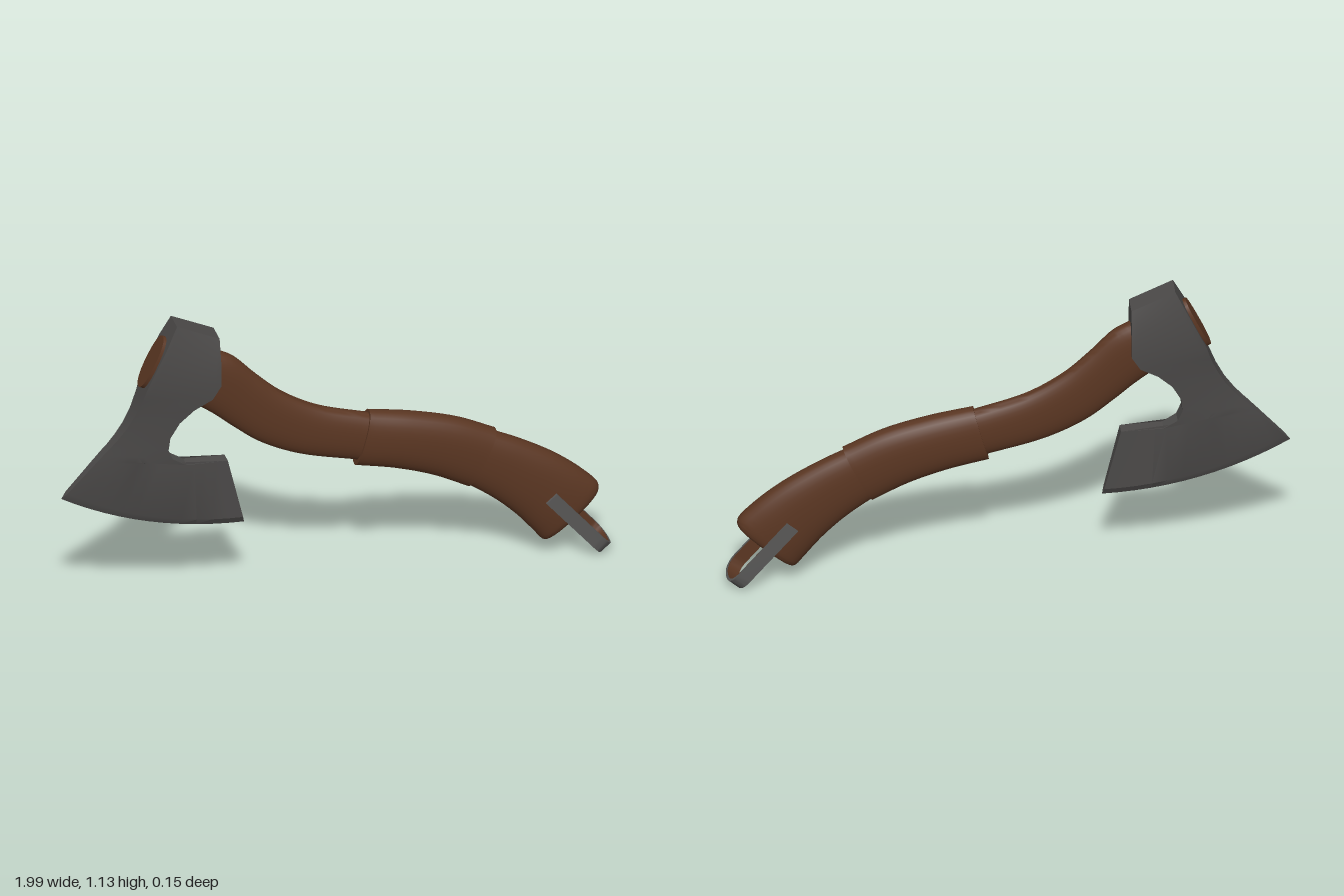
import * as THREE from 'three';
import { toCreasedNormals } from 'three/addons/utils/BufferGeometryUtils.js';

const mat = (name, color) => {
  const m = new THREE.MeshStandardMaterial({ color });
  m.name = name;
  return m;
};

// Skin a list of closed rings; rings run counter-clockwise about the loft direction
function loft(rings, capEnd, crease) {
  const n = rings[0].length, pos = [], idx = [];
  rings.forEach(r => r.forEach(p => pos.push(p.x, p.y, p.z)));
  for (let i = 0; i < rings.length - 1; i++) {
    for (let j = 0; j < n; j++) {
      const k = (j + 1) % n, a = i * n + j, b = i * n + k;
      idx.push(a, b, b + n, a, b + n, a + n);
    }
  }
  const cap = (row, flip) => {
    const c = new THREE.Vector3();
    rings[row].forEach(p => c.addScaledVector(p, 1 / n));
    const ci = pos.length / 3;
    pos.push(c.x, c.y, c.z);
    for (let j = 0; j < n; j++) {
      const a = row * n + j, b = row * n + (j + 1) % n;
      idx.push(ci, ...(flip ? [b, a] : [a, b]));
    }
  };
  cap(0, true);
  if (capEnd) cap(rings.length - 1, false);
  const g = new THREE.BufferGeometry();
  g.setAttribute('position', new THREE.Float32BufferAttribute(pos, 3));
  g.setIndex(idx);
  return toCreasedNormals(g, crease);
}

// Oval wooden section; rows are [topX, topY, bottomX, bottomY, halfWidth]
function wooden(rows, steps) {
  const top = new THREE.CatmullRomCurve3(rows.map(r => new THREE.Vector3(r[0], r[1], r[4])));
  const bottom = new THREE.CatmullRomCurve3(rows.map(r => new THREE.Vector3(r[2], r[3], 0)));
  const soft = v => Math.sign(v) * Math.abs(v) ** 0.85;
  const rings = [];
  for (let i = 0; i <= steps; i++) {
    const t = top.getPoint(i / steps), b = bottom.getPoint(i / steps), ring = [];
    for (let j = 0; j < 32; j++) {
      const a = j / 32 * Math.PI * 2, c = soft(Math.cos(a)) / 2;
      ring.push(new THREE.Vector3(
        (t.x + b.x) / 2 + (t.x - b.x) * c,
        (t.y + b.y) / 2 + (t.y - b.y) * c,
        t.z * soft(Math.sin(a))));
    }
    rings.push(ring);
  }
  return loft(rings, true, 0.8);
}

// Axe head; rows are [frontX, frontY, rearX, rearY, frontHalf, rearHalf, bow]
function headGeometry(rows) {
  const cols = 12;
  const rings = rows.map(([lx, ly, rx, ry, tl, tr, bow = 0]) => {
    const len = Math.hypot(rx - lx, ry - ly);
    const nx = (ry - ly) / len, ny = -(rx - lx) / len;
    const point = (s, side) => {
      const k = 4 * s * (1 - s) * bow;
      return new THREE.Vector3(lx + (rx - lx) * s + nx * k, ly + (ry - ly) * s + ny * k,
        side * (tl + (tr - tl) * s));
    };
    const ring = [];
    for (let j = 0; j <= cols; j++) ring.push(point(j / cols, -1));
    for (let j = cols; j >= 0; j--) ring.push(point(j / cols, 1));
    return ring;
  });
  return loft(rings, false, 0.45);
}

// U-shaped band between an outer and an inner offset, laid along the strap direction
function strapGeometry(outer, inner, width) {
  const side = (off) => {
    const pts = [new THREE.Vector2(0, 0.073 - off)];
    for (let i = 0; i <= 20; i++) {
      const a = Math.PI / 2 - i / 20 * Math.PI;
      const c = Math.abs(Math.cos(a)) ** 0.8, s = Math.sign(Math.sin(a)) * Math.abs(Math.sin(a)) ** 0.8;
      pts.push(new THREE.Vector2(0.255 + (0.065 - off) * c, (0.073 - off) * s));
    }
    pts.push(new THREE.Vector2(0, off - 0.073));
    return pts;
  };
  const shape = new THREE.Shape([...side(outer), ...side(inner).reverse()]);
  const g = new THREE.ExtrudeGeometry(shape, { depth: width, bevelEnabled: false });
  g.translate(0, 0, -width / 2);
  const d = new THREE.Vector3(0.65, -0.76, 0).normalize(), z = new THREE.Vector3(0, 0, 1);
  g.applyMatrix4(new THREE.Matrix4().makeBasis(d, z, d.clone().cross(z)).setPosition(0.765, 0.27, 0));
  return toCreasedNormals(g, 0.6);
}

export function createModel() {
  const group = new THREE.Group();
  const steel = mat('dark steel', 0x4c4a49);
  const wood = mat('brown wood', 0x5a3622);
  const metal = mat('strap grey', 0x585756);
  const add = (name, geometry, material) => {
    const m = new THREE.Mesh(geometry, material);
    m.name = name;
    group.add(m);
    return m;
  };

  // Head: poll, cheeks, bearded blade and sharpened edge
  add('axeHead', headGeometry([
    [-0.59, 1.14, -0.435, 1.07, 0.042, 0.042],
    [-0.63, 1.06, -0.435, 0.985, 0.058, 0.065],
    [-0.70, 0.91, -0.435, 0.89, 0.055, 0.065],
    [-0.715, 0.86, -0.465, 0.84, 0.046, 0.062],
    [-0.74, 0.80, -0.53, 0.80, 0.035, 0.052],
    [-0.77, 0.745, -0.58, 0.75, 0.028, 0.042],
    [-0.80, 0.705, -0.612, 0.69, 0.023, 0.034],
    [-0.83, 0.67, -0.617, 0.64, 0.02, 0.029],
    [-0.85, 0.65, -0.60, 0.60, 0.019, 0.027],
    [-0.87, 0.628, -0.55, 0.57, 0.018, 0.025],
    [-0.885, 0.612, -0.40, 0.565, 0.017, 0.023],
    [-0.98, 0.508, -0.342, 0.326, 0.011, 0.014, 0.045],
    [-1.0, 0.485, -0.335, 0.30, 0, 0, 0.045],
  ]), steel);

  // Upper shaft, running through the eye of the head
  add('upperHandle', wooden([
    [-0.63, 1.085, -0.72, 0.90, 0.045],
    [-0.53, 1.045, -0.625, 0.85, 0.045],
    [-0.43, 1.0, -0.53, 0.81, 0.046],
    [-0.375, 0.97, -0.455, 0.758, 0.044],
    [-0.29, 0.885, -0.375, 0.69, 0.041],
    [-0.2, 0.805, -0.28, 0.617, 0.04],
    [-0.07, 0.73, -0.14, 0.55, 0.04],
    [0.13, 0.668, 0.08, 0.493, 0.043],
  ], 42), wood);

  // Raised middle grip
  add('middleGrip', wooden([
    [0.12, 0.682, 0.065, 0.475, 0.052],
    [0.28, 0.652, 0.21, 0.443, 0.057],
    [0.44, 0.607, 0.35, 0.395, 0.057],
    [0.58, 0.543, 0.475, 0.332, 0.055],
  ], 24), wood);

  // Rounded butt
  add('handleButt', wooden([
    [0.56, 0.54, 0.465, 0.347, 0.051],
    [0.67, 0.487, 0.57, 0.27, 0.054],
    [0.80, 0.41, 0.65, 0.195, 0.057],
    [0.90, 0.33, 0.715, 0.118, 0.057],
    [0.95, 0.275, 0.745, 0.082, 0.052],
    [0.951, 0.25, 0.757, 0.078, 0.044],
    [0.925, 0.226, 0.785, 0.101, 0.03],
  ], 42), wood);

  // Hanging loop with a brown lining and its pin
  add('hangingLoop', strapGeometry(0, 0.009, 0.05), metal);
  add('loopLining', strapGeometry(0.009, 0.012, 0.048), wood);
  const pin = add('loopPin', new THREE.CylinderGeometry(0.014, 0.014, 0.136, 16), metal);
  pin.rotation.x = Math.PI / 2;
  pin.position.set(0.782, 0.25, 0);

  return group;
}
